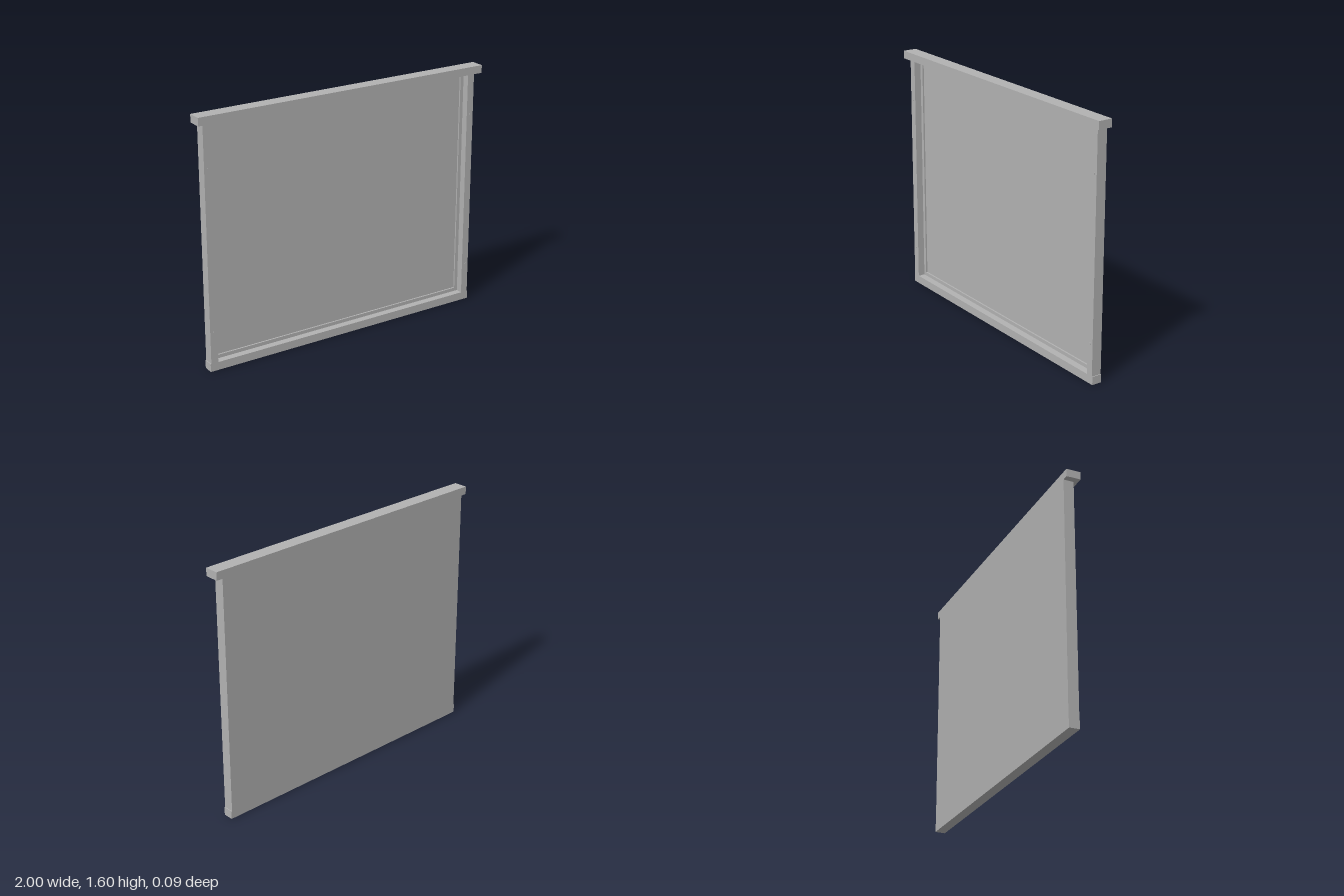
import * as THREE from 'three';

export function createModel() {
  const model = new THREE.Group();
  model.name = 'framedPanel';
  const grey = new THREE.MeshStandardMaterial({ color: 0xb2b2b2 });
  grey.name = 'plainGrey';

  const BACK = -0.045, FRONT = 0.02;

  function add(name, geometry) {
    const mesh = new THREE.Mesh(geometry, grey);
    mesh.name = name;
    model.add(mesh);
    return mesh;
  }

  // Box given by its extents
  function box(name, x0, x1, y0, y1, z0, z1) {
    const mesh = add(name, new THREE.BoxGeometry(x1 - x0, y1 - y0, z1 - z0));
    mesh.position.set((x0 + x1) / 2, (y0 + y1) / 2, (z0 + z1) / 2);
  }

  // Rectangle outline, used for the shape and its opening
  function rect(path, x, y0, y1) {
    path.moveTo(-x, y0);
    path.lineTo(x, y0);
    path.lineTo(x, y1);
    path.lineTo(-x, y1);
    path.closePath();
    return path;
  }

  // Overhanging cap and bottom rail
  box('topCap', -1, 1, 1.547, 1.597, BACK, 0.045);
  box('bottomRail', -0.965, 0.965, 0, 0.052, BACK, FRONT);

  // Side stiles with two small screws each
  for (const [side, s] of [['left', 1], ['right', -1]]) {
    const [a, b] = [s * 0.913, s * 0.96].sort((p, q) => p - q);
    box(side + 'Stile', a, b, 0.052, 1.547, BACK, FRONT);
    for (const y of [0.255, 1.28]) {
      const screw = add(side + 'Screw', new THREE.CylinderGeometry(0.005, 0.005, 0.006, 10));
      screw.rotation.x = Math.PI / 2;
      screw.position.set(s * 0.938, y, FRONT + 0.001);
    }
  }

  // Inner rebate stepping down to the panel
  const rebateShape = rect(new THREE.Shape(), 0.913, 0.052, 1.547);
  rebateShape.holes.push(rect(new THREE.Path(), 0.89, 0.075, 1.525));
  const rebate = add('innerRebate',
    new THREE.ExtrudeGeometry(rebateShape, { depth: 0.02, bevelEnabled: false }));
  rebate.position.z = BACK;

  // Recessed panel filling the frame, flush with the back
  box('panel', -0.89, 0.89, 0.075, 1.525, BACK, BACK + 0.01);

  return model;
}
